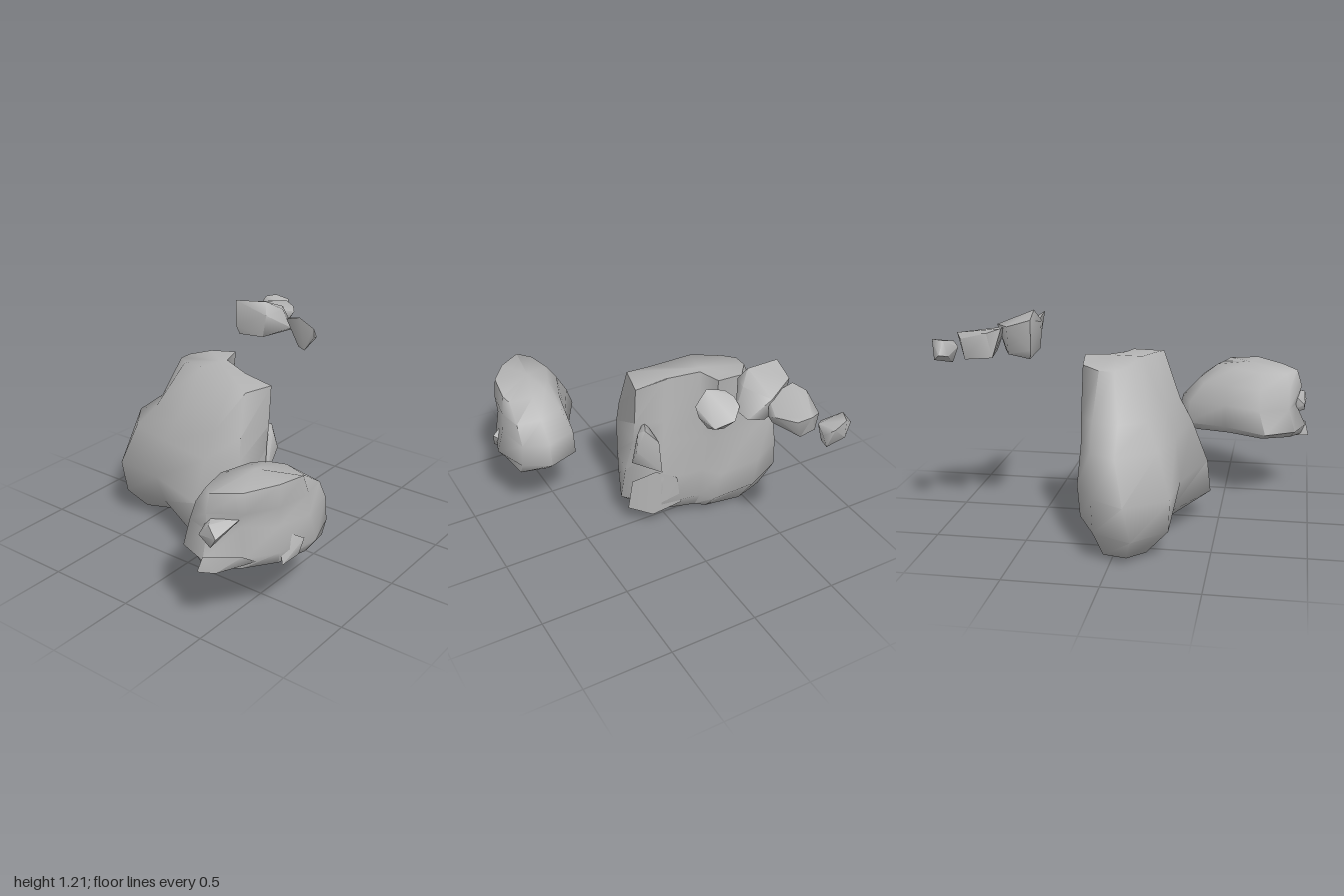
import * as THREE from 'three';
import { mergeVertices, toCreasedNormals } from 'three/addons/utils/BufferGeometryUtils.js';
import { ConvexGeometry } from 'three/addons/geometries/ConvexGeometry.js';

// Skins stacked rings of [x, z] corners; heights[i](x, j) gives the y of corner j in ring i.
function loft(rings, heights, bottom, top) {
  const n = rings[0].length;
  const pos = [], index = [];
  rings.forEach((ring, i) => ring.forEach(([x, z], j) => pos.push(x, heights[i](x, j), z)));
  const b = rings.length * n, t = b + 1;
  pos.push(...bottom, ...top);
  for (let j = 0; j < n; j++) {
    const k = (j + 1) % n;
    for (let i = 0; i < rings.length - 1; i++) {
      const a = i * n + j, c = i * n + k;
      index.push(a, a + n, c, c, a + n, c + n);
    }
    index.push(b, j, k, t, b - n + k, b - n + j);
  }
  const geo = new THREE.BufferGeometry();
  geo.setAttribute('position', new THREE.Float32BufferAttribute(pos, 3));
  geo.setIndex(index);
  return toCreasedNormals(geo, 1.2);
}

// Convex stone from a few corners.
function stone(points) {
  const geo = new ConvexGeometry(points.map(p => new THREE.Vector3(...p)));
  geo.deleteAttribute('normal');
  return toCreasedNormals(mergeVertices(geo), 1.15);
}

export function createModel() {
  const model = new THREE.Group();
  const rockGrey = new THREE.MeshStandardMaterial({ color: 0xb4b4b4 });
  rockGrey.name = 'rock grey';
  const add = (name, geo) => {
    const mesh = new THREE.Mesh(geo, rockGrey);
    mesh.name = name;
    model.add(mesh);
  };
  const flat = y => () => y;

  // Large boulder: corners run from the right side round the front, left and stepped back
  const boulder = [
    [[0.15, 0.05], [0.1, 0.2], [-0.14, 0.18], [-0.36, 0.2], [-0.6, 0.17], [-0.69, 0.08], [-0.64, -0.05], [-0.47, -0.1], [-0.22, -0.12], [-0.16, -0.1], [0.1, -0.05]],
    [[0.24, 0.07], [0.15, 0.28], [0.0, 0.45], [-0.37, 0.26], [-0.64, 0.29], [-0.82, 0.12], [-0.72, -0.09], [-0.5, -0.2], [-0.23, -0.21], [-0.17, -0.14], [0.07, -0.11]],
    [[0.21, 0.07], [0.16, 0.27], [0.0, 0.43], [-0.38, 0.32], [-0.67, 0.3], [-0.82, 0.08], [-0.71, -0.1], [-0.52, -0.21], [-0.26, -0.23], [-0.18, -0.14], [0.07, -0.11]],
    [[0.18, 0.02], [0.17, 0.25], [0.0, 0.34], [-0.33, 0.29], [-0.6, 0.23], [-0.75, 0.03], [-0.67, -0.11], [-0.5, -0.19], [-0.23, -0.18], [-0.18, -0.13], [0.05, -0.09]],
    [[0.18, 0.0], [0.16, 0.23], [0.0, 0.27], [-0.28, 0.23], [-0.5, 0.16], [-0.58, 0.02], [-0.55, -0.12], [-0.44, -0.2], [-0.22, -0.19], [-0.18, -0.11], [0.03, -0.07]],
    [[0.18, -0.02], [0.14, 0.16], [0.02, 0.13], [-0.22, 0.09], [-0.38, 0.04], [-0.46, -0.02], [-0.46, -0.1], [-0.38, -0.2], [-0.22, -0.22], [-0.18, -0.09], [0.0, -0.03]],
  ];
  const baseY = [0.1, 0.1, 0.045, 0.09, 0.02, 0.02, 0.01, 0.0, 0.05, 0.07, 0.09];
  const crown = x => 0.98 - 0.13 * Math.abs(x + 0.21);
  add('largeBoulder', loft(boulder,
    [(x, j) => baseY[j], flat(0.16), flat(0.34), flat(0.57), flat(0.7), crown],
    [-0.25, 0.06, 0.05], [-0.2, 0.975, -0.05]));

  // Ledges on the large boulder
  add('sideLedge', stone([[0.12, 0.7, 0.0], [0.18, 0.66, -0.04], [0.15, 0.68, -0.07], [0.2, 0.55, -0.06], [0.19, 0.42, 0.02], [0.07, 0.4, -0.12], [0.08, 0.6, -0.1], [0.12, 0.5, 0.1]]));
  add('footLedge', stone([[0.1, 0.4, -0.1], [0.2, 0.3, 0.0], [0.23, 0.12, 0.0], [0.12, 0.1, -0.1], [-0.05, 0.14, -0.12], [-0.02, 0.34, -0.13], [0.0, 0.1, 0.0]]));

  // Medium boulder
  const medium = [
    [[0.77, 0.5], [0.73, 0.67], [0.63, 0.83], [0.5, 0.95], [0.38, 0.88], [0.3, 0.72], [0.42, 0.52], [0.48, 0.32], [0.6, 0.27], [0.75, 0.32]],
    [[0.82, 0.48], [0.75, 0.69], [0.65, 0.84], [0.5, 0.97], [0.33, 0.91], [0.23, 0.74], [0.37, 0.5], [0.43, 0.26], [0.6, 0.2], [0.75, 0.28]],
    [[0.78, 0.48], [0.73, 0.68], [0.59, 0.79], [0.48, 0.91], [0.34, 0.87], [0.28, 0.7], [0.38, 0.5], [0.43, 0.28], [0.6, 0.22], [0.74, 0.28]],
    [[0.77, 0.48], [0.74, 0.68], [0.65, 0.83], [0.5, 0.94], [0.38, 0.87], [0.34, 0.7], [0.41, 0.5], [0.46, 0.36], [0.6, 0.32], [0.74, 0.34]],
    [[0.75, 0.5], [0.73, 0.67], [0.63, 0.82], [0.5, 0.91], [0.43, 0.85], [0.4, 0.7], [0.46, 0.54], [0.51, 0.47], [0.6, 0.43], [0.73, 0.46]],
  ];
  const topY = [0.77, 0.785, 0.77, 0.765, 0.755, 0.76, 0.77, 0.765, 0.76, 0.75];
  add('mediumBoulder', loft(medium,
    [x => 0.39 - 0.07 * (x - 0.3), flat(0.43), flat(0.56), flat(0.67), (x, j) => topY[j]],
    [0.56, 0.36, 0.62], [0.55, 0.795, 0.62]));

  // Knobs on the medium boulder
  add('frontKnob', stone([[0.47, 0.56, 0.96], [0.53, 0.63, 0.96], [0.58, 0.57, 0.97], [0.54, 0.51, 0.96], [0.48, 0.66, 0.85], [0.62, 0.64, 0.8], [0.48, 0.5, 0.85]]));
  add('lowerKnob', stone([[0.48, 0.37, 0.99], [0.57, 0.38, 0.96], [0.68, 0.4, 0.78], [0.66, 0.46, 0.87], [0.5, 0.45, 0.97], [0.5, 0.36, 0.8], [0.62, 0.36, 0.78]]));
  add('sideKnob', stone([[0.81, 0.48, 0.57], [0.8, 0.4, 0.6], [0.76, 0.36, 0.68], [0.7, 0.52, 0.64], [0.7, 0.4, 0.5], [0.72, 0.34, 0.58]]));

  // Chain of four small stones
  add('smallStoneRight', stone([
    [0.03, 1.16, -0.5], [-0.07, 1.13, -0.51], [-0.09, 1.12, -0.57], [0.11, 1.1, -0.53], [0.1, 1.04, -0.55], [0.04, 0.95, -0.54],
    [-0.03, 0.95, -0.58], [-0.1, 1.08, -0.61], [0.06, 1.01, -0.64], [-0.05, 1.03, -0.65]]));
  add('smallStoneMiddle', stone([
    [-0.41, 1.19, -0.47], [-0.21, 1.21, -0.5], [-0.18, 1.14, -0.46], [-0.14, 1.16, -0.57], [-0.09, 1.05, -0.59], [-0.12, 1.02, -0.66],
    [-0.21, 1.0, -0.47], [-0.39, 0.98, -0.48], [-0.41, 1.03, -0.47], [-0.23, 1.13, -0.7], [-0.4, 1.15, -0.6], [-0.38, 1.0, -0.6], [-0.22, 0.99, -0.66]]));
  add('smallStoneRear', stone([
    [-0.4, 1.14, -0.63], [-0.24, 1.12, -0.65], [-0.2, 1.05, -0.72], [-0.2, 1.08, -0.78], [-0.27, 1.08, -0.87], [-0.34, 1.1, -0.89],
    [-0.41, 1.08, -0.85], [-0.44, 1.12, -0.7], [-0.44, 0.99, -0.67], [-0.41, 0.97, -0.83], [-0.3, 0.98, -0.86], [-0.24, 0.99, -0.7]]));
  add('smallStoneEnd', stone([
    [-0.56, 1.02, -0.92], [-0.51, 1.09, -0.91], [-0.48, 1.09, -0.98], [-0.4, 1.07, -1.0], [-0.36, 1.03, -0.96], [-0.37, 1.06, -0.9],
    [-0.42, 1.04, -0.86], [-0.53, 1.01, -0.88], [-0.4, 0.95, -0.9], [-0.38, 0.96, -0.97], [-0.49, 0.98, -0.97]]));

  return model;
}
